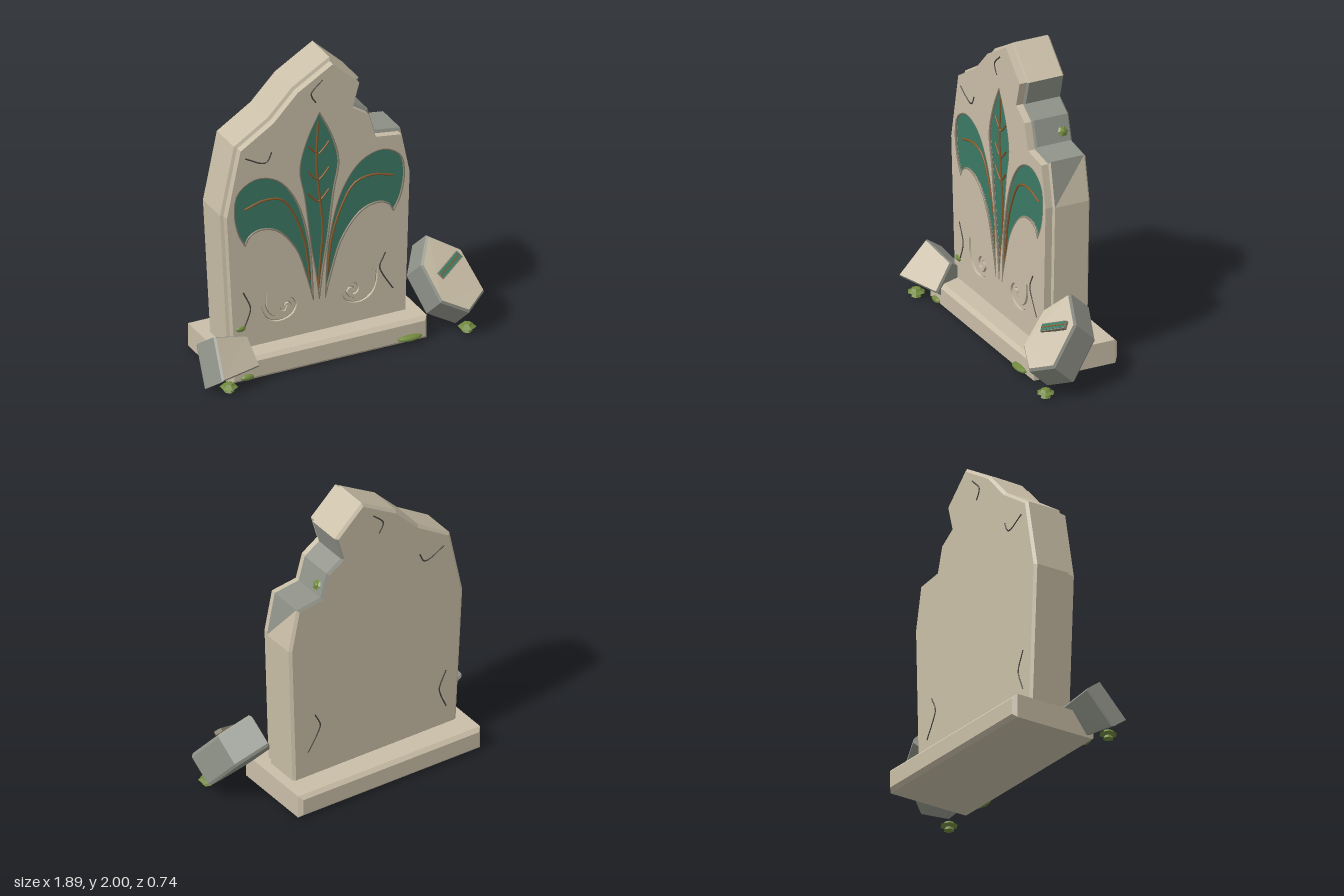
import * as THREE from 'three';

const mat = (name, color, side = THREE.FrontSide) => {
  const m = new THREE.MeshStandardMaterial({ color, side });
  m.name = name;
  return m;
};
const stone = mat('sandstone', 0xc9bea7);
const broken = mat('brokenStone', 0x909389);
const rim = mat('carvedRim', 0x8c8371);
const teal = mat('tealInlay', 0x3c7a65);
const vein = mat('copperVein', 0x85572a);
const dark = mat('crack', 0x45423c);
const moss = mat('moss', 0x71893e, THREE.DoubleSide);

const V = (x, y, z) => new THREE.Vector3(x, y, z);
const AXIS = -0.095; // vertical axis of the carving
const FACE = 0.095, BACK = -0.205;

function add(group, name, geometry, material, x = 0, y = 0, z = 0) {
  const mesh = new THREE.Mesh(geometry, material);
  mesh.name = name;
  mesh.position.set(x, y, z);
  group.add(mesh);
  return mesh;
}

// Mitred inset of a counter-clockwise outline
function inset(pts, d) {
  const n = pts.length;
  return pts.map((p, i) => {
    const a = pts[(i + n - 1) % n], b = pts[(i + 1) % n];
    const e = new THREE.Vector2(p[0] - a[0], p[1] - a[1]).normalize();
    const f = new THREE.Vector2(b[0] - p[0], b[1] - p[1]).normalize();
    const k = d / (1 + e.dot(f));
    return [p[0] - (e.y + f.y) * k, p[1] + (e.x + f.x) * k];
  });
}
const ring = (pts, z, d = 0) => inset(pts, d).map(([x, y]) => V(x, y, z));

// Closed solid through rings ordered back to front; pick(k, i, half) gives the side material
function loft(rings, pick, backCap = 0, frontCap = 0) {
  const lists = [[], []], n = rings[0].length;
  for (let k = 0; k < rings.length - 1; k++) for (let i = 0; i < n; i++) {
    const j = (i + 1) % n, r = rings[k], s = rings[k + 1];
    lists[pick(k, i, 0)].push(r[i], r[j], s[i]);
    lists[pick(k, i, 1)].push(r[j], s[j], s[i]);
  }
  const cap = (r, m, flip) => {
    const flat = r.map(p => new THREE.Vector2(p.x, p.y));
    for (const [a, b, c] of THREE.ShapeUtils.triangulateShape(flat, []))
      lists[m].push(r[a], r[flip ? c : b], r[flip ? b : c]);
  };
  cap(rings[0], backCap, true);
  cap(rings[rings.length - 1], frontCap, false);
  const g = new THREE.BufferGeometry().setFromPoints([...lists[0], ...lists[1]]);
  g.addGroup(0, lists[0].length, 0);
  g.addGroup(lists[0].length, lists[1].length, 1);
  g.computeVertexNormals();
  return g;
}

const spline = pts => new THREE.CatmullRomCurve3(pts.map(([x, y]) => V(x, y, 0)), false, 'centripetal');
const tube = (pts, r, seg = 24) => new THREE.TubeGeometry(spline(pts), seg, r, 12);
const place = (pts, s) => pts.map(([u, y]) => [AXIS + s * u, y]);
const flat2 = pts => pts.map(p => new THREE.Vector2(p.x, p.y));

// Outline of a band of given width along a curve
function band(pts, w) {
  const c = spline(pts), L = [], R = [];
  for (let i = 0; i <= 40; i++) {
    const p = c.getPoint(i / 40), t = c.getTangent(i / 40);
    L.push(new THREE.Vector2(p.x - t.y * w / 2, p.y + t.x * w / 2));
    R.unshift(new THREE.Vector2(p.x + t.y * w / 2, p.y - t.x * w / 2));
  }
  return [...L, ...R];
}
const bandFace = (pts, w) => new THREE.ShapeGeometry(new THREE.Shape(band(pts, w)));

// Slab outline, counter-clockwise from the lower right
const OUTLINE = [[.51, .14], [.54, 1.11], [.482, 1.395], [.305, 1.42], [.26, 1.58], [.155, 1.65], [.2, 1.81],
  [0, 2], [-.255, 1.85], [-.42, 1.68], [-.65, 1.535], [-.745, 1.08], [-.695, .14]];

// Carving, as distance from the axis and height
const SIDE_LEAF = [
  [[.04, .375], [.065, .76], [.16, 1.1], [.29, 1.265], [.435, 1.305], [.555, 1.235], [.58, 1.1], [.55, .945], [.505, .86]],
  [[.505, .86], [.475, .915], [.405, .945], [.29, .915], [.16, .76], [.085, .545], [.04, .375]]];
const SIDE_VEIN = [[.505, 1.105], [.37, 1.14], [.25, 1.115], [.17, 1], [.095, .79], [.058, .52]];
const MID_EDGE = [[0, .375], [.022, .55], [.055, .75], [.1, 1.1], [.133, 1.3], [.085, 1.49], [0, 1.665]];
const MID_LEAF = [MID_EDGE, MID_EDGE.map(([u, y]) => [-u, y]).reverse()];
const SCROLL = [[.378, .495], [.373, .4], [.34, .335], [.28, .307], [.2, .325], [.172, .375], [.2, .418], [.242, .41],
  [.25, .375], [.225, .365]];
const CRACKS = [
  [[-.075, 1.885], [-.15, 1.81], [-.145, 1.78], [-.12, 1.74]],
  [[-.6, 1.465], [-.48, 1.405], [-.45, 1.41], [-.42, 1.47]],
  [[-.615, .545], [-.565, .43], [-.57, .39], [-.615, .28]],
  [[.355, .59], [.315, .5], [.33, .455], [.405, .33]]];

function buildSlab(root) {
  const g = new THREE.Group();
  g.name = 'headSlab';
  root.add(g);
  // Body with a weathered break on the right shoulder
  const isBroken = (k, i, half) => (k < 3 && ((i >= 2 && i <= 5) || (i === 1 && half === 1 && k === 1)) ? 1 : 0);
  add(g, 'slabBody', loft([ring(OUTLINE, BACK, .018), ring(OUTLINE, -.19), ring(OUTLINE, .04),
    ring(OUTLINE, .048, .02), ring(OUTLINE, .07, .02)], isBroken), [stone, broken]);

  // Front panel pierced by the leaves and scrolls
  const panel = new THREE.Shape(inset(OUTLINE, .02).map(p => new THREE.Vector2(...p)));
  const leaves = [['leftLeaf', SIDE_LEAF, 1], ['rightLeaf', SIDE_LEAF, -1], ['middleLeaf', MID_LEAF, 1]];
  for (const [name, edges, s] of leaves) {
    const [a, b] = edges.map(e => place(e, s));
    const pts = [...flat2(spline(a).getPoints(32)), ...flat2(spline(b).getPoints(32)).slice(1, -1)];
    panel.holes.push(new THREE.Path(pts));
    add(g, name, new THREE.ShapeGeometry(new THREE.Shape(pts)), teal, 0, 0, .08);
    for (const e of [a, b]) add(g, name + 'Rim', tube(e, .007, 40), rim, 0, 0, .089);
  }
  for (const s of [1, -1]) {
    const scroll = place(SCROLL, s);
    panel.holes.push(new THREE.Path(band(scroll, .036)));
    add(g, 'scrollRim', bandFace(scroll, .036), rim, 0, 0, .079);
    add(g, 'scrollFloor', bandFace(scroll, .024), stone, 0, 0, .084);
    add(g, 'sideVein', tube(place(SIDE_VEIN, s), .007), vein, 0, 0, .083);
    for (const y of [1.37, 1.19, 1.04])
      add(g, 'veinBranch', tube([[AXIS, y], [AXIS + s * .035, y + .03], [AXIS + s * .072, y + .075]], .006, 6), vein, 0, 0, .083);
  }
  add(g, 'middleVein', tube([[-.098, 1.6], [-.108, 1.3], [-.09, 1.1], [-.067, .85], [-.085, .6], [-.093, .43]], .007), vein, 0, 0, .083);
  add(g, 'carvedPanel', new THREE.ExtrudeGeometry(panel, { depth: .025, bevelEnabled: false }), stone, 0, 0, .07);

  // Cracks on both faces
  for (const c of CRACKS) for (const z of [FACE, BACK]) add(g, 'crack', tube(c, .0045, 16), dark, 0, 0, z);
}

// Fallen block: worn face polygon pushed back along an offset
function buildRock(root, name, face, off) {
  const mid = face.reduce((m, p) => m.add(p), V(0, 0, 0)).divideScalar(face.length);
  const section = (t, s) => face.map(p => p.clone().sub(mid).multiplyScalar(s).add(mid).addScaledVector(off, t));
  return add(root, name, loft([section(1, .94), section(.92, 1), section(.08, 1), section(0, .94)], () => 1, 1, 0), [stone, broken]);
}

function buildMoss(root) {
  // Two-tiered tufts, the last one growing sideways from the broken edge
  const tuft = new THREE.LatheGeometry([[0, -.034], [.034, -.03], [.022, -.01], [.058, 0], [.036, .012], [.028, .024], [0, .03]]
    .map(p => new THREE.Vector2(...p)), 6).toNonIndexed();
  tuft.computeVertexNormals();
  for (const [x, y, z, s, turn] of [[-.81, .036, .29, 1, 0], [.83, .038, .255, 1, 0], [.295, 1.485, -.14, .6, -1]]) {
    const m = add(root, 'mossTuft', tuft, moss, x, y, z);
    m.scale.setScalar(s);
    m.rotation.z = turn;
  }
  // Flat patches on the plinth and the slab
  const mound = new THREE.IcosahedronGeometry(1, 1);
  for (const [x, y, z, r, d] of [[.45, .042, .235, .085, .035], [-.655, .035, .235, .045, .02], [-.63, .295, .09, .035, .02]])
    add(root, 'mossMound', mound, moss, x, y, z).scale.set(r, .02, d);
}

export function createModel() {
  const root = new THREE.Group();
  root.name = 'carvedGravestone';

  // Chamfered plinth
  const rect = [[-.765, 0], [.58, 0], [.58, .155], [-.765, .155]];
  add(root, 'plinth', loft([ring(rect, -.375, .024), ring(rect, -.352), ring(rect, .206), ring(rect, .23, .024)], () => 0), [stone, broken]);

  buildSlab(root);

  // Fallen blocks
  buildRock(root, 'rightBlock', [V(-.89, .13, .375), V(-.585, .115, .27), V(-.615, .28, .155), V(-.86, .35, .2)], V(-.06, -.11, -.145));
  buildRock(root, 'leftBlock', [V(.68, .595, .015), V(.58, .47, .14), V(.63, .28, .31), V(.8, .195, .36), V(.95, .26, .265),
    V(.88, .48, .08)], V(-.03, -.155, -.16));

  // Inlay fragment on the left block
  const strip = new THREE.Group();
  strip.name = 'inlayFragment';
  const along = V(.175, .08, -.08).normalize(), out = V(.05, .69, .72);
  out.addScaledVector(along, -out.dot(along)).normalize();
  strip.quaternion.setFromRotationMatrix(new THREE.Matrix4().makeBasis(along, out.clone().cross(along), out));
  strip.position.set(.76, .43, .16);
  add(strip, 'fragmentRim', new THREE.BoxGeometry(.2, .054, .024), rim);
  add(strip, 'fragmentInlay', new THREE.BoxGeometry(.192, .044, .006), teal, 0, 0, .011);
  add(strip, 'fragmentVein', new THREE.BoxGeometry(.192, .008, .004), vein, 0, 0, .014);
  root.add(strip);

  buildMoss(root);
  return root;
}
